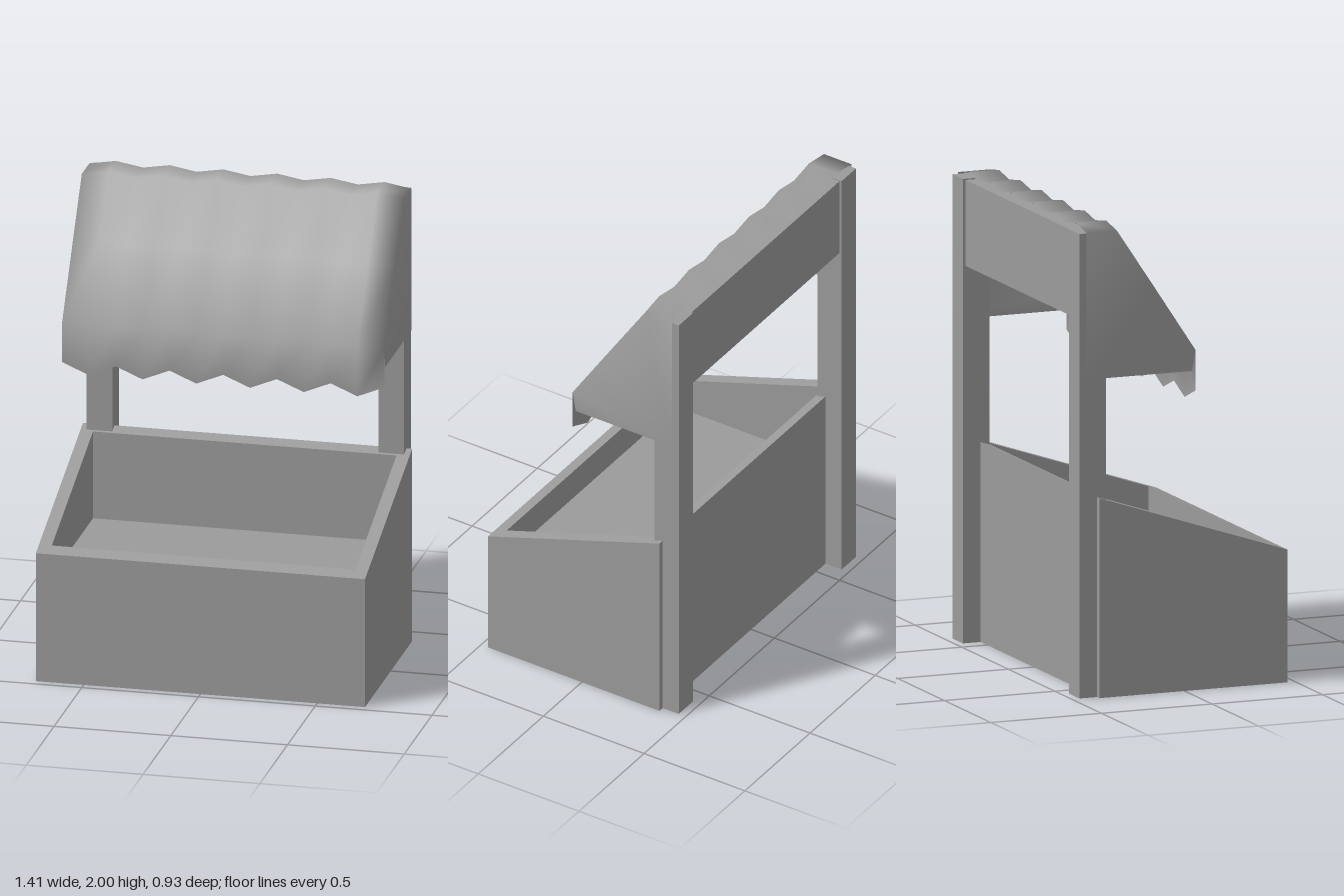
import * as THREE from 'three';

const material = new THREE.MeshStandardMaterial({ color: 0x9b9b9b, side: THREE.DoubleSide });

function addBox(group, name, [x, y, z], [w, h, d], openBottom = false) {
  const geometry = new THREE.BoxGeometry(w, h, d);
  if (openBottom) {
    // the fourth face of a box is its underside
    const index = Array.from(geometry.index.array);
    index.splice(18, 6);
    geometry.setIndex(index);
    geometry.clearGroups();
  }
  const mesh = new THREE.Mesh(geometry, material);
  mesh.position.set(x, y, z);
  mesh.name = name;
  group.add(mesh);
}

function buildGeometry(points, faces) {
  const geometry = new THREE.BufferGeometry();
  geometry.setAttribute('position', new THREE.Float32BufferAttribute(points.flat(), 3));
  geometry.setIndex(faces.flat());
  return geometry;
}

// Sloped-top bin, open underneath: outer wall, rim, inner wall and floor lofted from rectangular loops
function createBin() {
  const rimY = (z) => 0.565 + (0.465 - z) * (0.285 / 0.85);
  const loop = (x, front, back, y) =>
    [[-x, front], [x, front], [x, back], [-x, back]].map(([px, z]) => [px, y(z), z]);
  const points = [
    ...loop(0.705, 0.465, -0.385, () => 0),
    ...loop(0.705, 0.465, -0.385, rimY),
    ...loop(0.65, 0.408, -0.335, rimY),
    ...loop(0.65, 0.408, -0.335, () => 0.45),
  ];
  const faces = [];
  for (let r = 0; r < 3; r++) {
    for (let i = 0; i < 4; i++) {
      const j = (i + 1) % 4, a = r * 4, b = a + 4;
      faces.push([a + i, a + j, b + j], [a + i, b + j, b + i]);
    }
  }
  faces.push([12, 13, 14], [12, 14, 15]);
  const geometry = buildGeometry(points, faces).toNonIndexed();
  geometry.computeVertexNormals();
  return geometry;
}

// Cloth awning: wavy top, straight eave, zigzag valance and two side panels, smoothly shaded
function createAwning() {
  const columns = 12, halfWidth = 0.69;
  // each row: z, y on even columns, y on odd columns
  const rows = [
    [-0.437, 1.98, 2.0],
    [-0.3, 1.98, 2.0],
    [-0.14, 1.74, 1.75],
    [0.055, 1.445, 1.445],
    [0.055, 1.27, 1.222],
  ];
  const points = [], faces = [];
  const at = (r, c) => r * (columns + 1) + c;
  for (const [z, even, odd] of rows) {
    for (let c = 0; c <= columns; c++) {
      points.push([-halfWidth + (2 * halfWidth * c) / columns, c % 2 ? odd : even, z]);
    }
  }
  for (let r = 0; r < rows.length - 1; r++) {
    for (let c = 0; c < columns; c++) {
      faces.push([at(r, c), at(r + 1, c), at(r, c + 1)]);
      faces.push([at(r + 1, c), at(r + 1, c + 1), at(r, c + 1)]);
    }
  }
  // side panels share the end points of the cloth
  for (const side of [-1, 1]) {
    const c = side > 0 ? columns : 0;
    const low = points.length, back = low + 1;
    points.push([side * halfWidth, 1.355, 0.04], [side * halfWidth, 1.355, -0.437]);
    const edge = [at(0, c), at(1, c), at(2, c), at(3, c), low];
    for (let i = 0; i < edge.length - 1; i++) {
      faces.push(side > 0 ? [back, edge[i], edge[i + 1]] : [back, edge[i + 1], edge[i]]);
    }
  }
  const geometry = buildGeometry(points, faces);
  geometry.computeVertexNormals();
  return geometry;
}

export function createModel() {
  const model = new THREE.Group();
  model.name = 'marketStall';

  const bin = new THREE.Mesh(createBin(), material);
  bin.name = 'displayBin';
  model.add(bin);

  // Rear posts and the board joining them
  addBox(model, 'leftPost', [0.625, 0.9875, -0.405], [0.11, 1.975, 0.12], true);
  addBox(model, 'rightPost', [-0.625, 0.9875, -0.405], [0.11, 1.975, 0.12], true);
  addBox(model, 'crossBoard', [0, 1.7875, -0.419], [1.15, 0.365, 0.07]);

  const awning = new THREE.Mesh(createAwning(), material);
  awning.name = 'awning';
  model.add(awning);

  return model;
}
